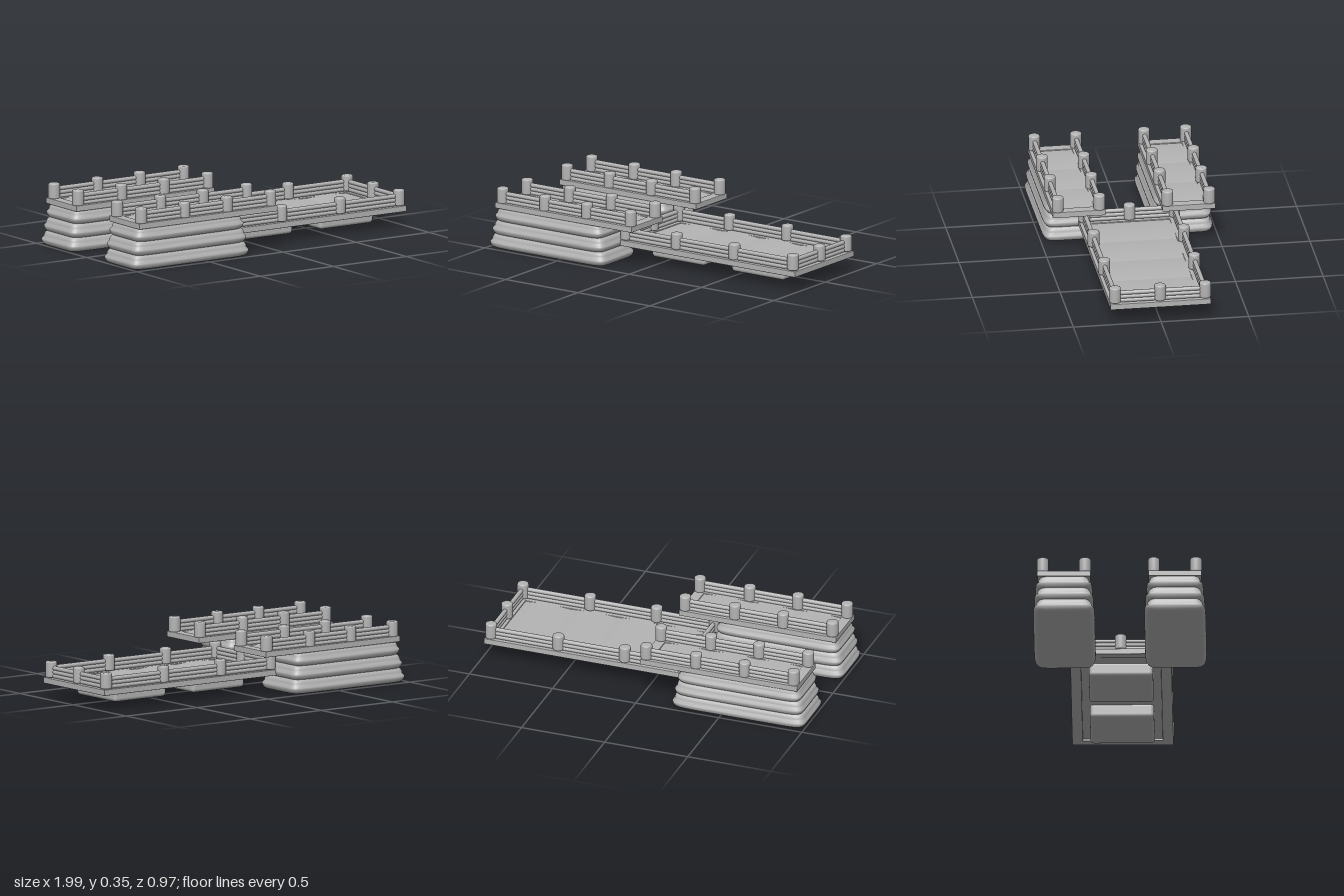
import * as THREE from 'three';
import { RoundedBoxGeometry } from 'three/addons/geometries/RoundedBoxGeometry.js';

const grey = new THREE.MeshStandardMaterial({ color: 0xb4b4b4 });
grey.name = 'grey';

function add(parent, name, geometry, x = 0, y = 0, z = 0) {
  const mesh = new THREE.Mesh(geometry, grey);
  mesh.name = name;
  mesh.position.set(x, y, z);
  parent.add(mesh);
  return mesh;
}

// Inflated cushion: superellipse plan lofted along a rounded, tapering side
function cushion(a, b, h) {
  const N = 64, power = 0.2, pos = [], index = [];
  const r = h * 0.42, rows = [];
  for (let i = 0; i <= 6; i++) {
    const t = (i / 6) * Math.PI / 2;
    rows.push([r * 0.75 * (1 - Math.sin(t)), r * (1 - Math.cos(t))]);
  }
  for (let i = 0; i <= 6; i++) {
    const t = (i / 6) * Math.PI / 2;
    rows.push([0.01 + r * 0.75 * (1 - Math.cos(t)), h - r + r * Math.sin(t)]);
  }
  const curve = v => Math.sign(v) * Math.pow(Math.abs(v) < 1e-9 ? 0 : Math.abs(v), power);
  for (const [inset, y] of rows)
    for (let j = 0; j < N; j++) {
      const t = (j / N) * Math.PI * 2;
      pos.push((a - inset) * curve(Math.cos(t)), y, (b - inset) * curve(Math.sin(t)));
    }
  const bottom = rows.length * N, top = bottom + 1, last = (rows.length - 1) * N;
  pos.push(0, 0, 0, 0, h, 0);
  for (let j = 0; j < N; j++) {
    const k = (j + 1) % N;
    for (let i = 0; i < rows.length - 1; i++) {
      const p = i * N, q = p + N;
      index.push(p + j, q + j, p + k, p + k, q + j, q + k);
    }
    index.push(bottom, j, k, top, last + k, last + j);
  }
  const g = new THREE.BufferGeometry();
  g.setAttribute('position', new THREE.Float32BufferAttribute(pos, 3));
  g.setIndex(index);
  g.computeVertexNormals();
  return g;
}

// Upright post with softened rims
function postGeometry(h, r = 0.033) {
  const c = 0.008, pts = [[0, 0], [r - c, 0], [r - 0.002, 0.003], [r, c], [r, h - c],
    [r - 0.002, h - 0.003], [r - c, h], [0, h]];
  return new THREE.LatheGeometry(pts.map(p => new THREE.Vector2(...p)), 24);
}

// Rectangular rim with an open middle, from y = 0 to y = h
function rimGeometry(w, d, iw, id, h) {
  const rect = (P, x, z) => new P([[-x, -z], [x, -z], [x, z], [-x, z]]
    .map(p => new THREE.Vector2(p[0] / 2, p[1] / 2)));
  const bevel = 0.004;
  const shape = rect(THREE.Shape, w - 2 * bevel, d - 2 * bevel);
  shape.holes.push(rect(THREE.Path, iw + 2 * bevel, id + 2 * bevel));
  const g = new THREE.ExtrudeGeometry(shape, { depth: h - 2 * bevel, bevelThickness: bevel,
    bevelSize: bevel, bevelSegments: 2 });
  return g.rotateX(-Math.PI / 2).translate(0, bevel, 0);
}

// Floor panel whose top bulges gently along x
function panelGeometry(w, d, h) {
  const g = new THREE.BoxGeometry(w, h, d, 12, 1, 1).translate(0, h / 2, 0);
  const p = g.attributes.position;
  for (let i = 0; i < p.count; i++)
    if (p.getY(i) > h / 2) p.setY(i, h + 0.006 * (1 - (2 * p.getX(i) / w) ** 2));
  g.computeVertexNormals();
  return g;
}

// Framed deck with a row of panels
function deck(parent, x0, x1, d, y, h, seams, panelDepth) {
  const ix0 = seams[0], ix1 = seams[seams.length - 1], cx = (x0 + x1) / 2;
  const iw = 2 * Math.min(ix1 - cx, cx - ix0);
  add(parent, 'deckRim', rimGeometry(x1 - x0, d, iw, panelDepth, h), cx, y, 0);
  for (let i = 0; i < seams.length - 1; i++) {
    const w = seams[i + 1] - seams[i];
    add(parent, 'floorPanel', panelGeometry(w, panelDepth + 0.004, h - 0.018),
      seams[i] + w / 2, y + 0.012, 0);
  }
}

// Three stacked tubes between two points on the deck
function rails(parent, y, x0, z0, x1, z1) {
  for (let i = 0; i < 3; i++) {
    const path = new THREE.LineCurve3(new THREE.Vector3(x0, y + 0.011 + i * 0.0225, z0),
      new THREE.Vector3(x1, y + 0.011 + i * 0.0225, z1));
    add(parent, 'railTube', new THREE.TubeGeometry(path, 1, 0.0125, 14));
  }
}

// Raised dock on three stacked cushions
function raisedDock(z, name) {
  const g = new THREE.Group();
  g.name = name;
  g.position.z = z;
  [[0.4, 0.174], [0.387, 0.168], [0.372, 0.161]].forEach(([a, b], i) =>
    add(g, 'baseCushion', cushion(a, b, 0.084), -0.6, i * 0.077, 0));
  deck(g, -0.957, -0.012, 0.3, 0.23, 0.034, [-0.897, -0.625, -0.345, -0.072], 0.185);
  for (const s of [-1, 1]) {
    rails(g, 0.26, -0.925, s * 0.119, -0.04, s * 0.119);
    for (const x of [-0.925, -0.63, -0.34, -0.04])
      add(g, 'post', postGeometry(0.09), x, 0.26, s * 0.119);
  }
  return g;
}

// Long low platform on two pads
function platform() {
  const g = new THREE.Group();
  g.name = 'platform';
  deck(g, -0.225, 0.993, 0.572, 0.086, 0.034, [-0.165, 0.105, 0.38, 0.655, 0.933], 0.45);
  for (const s of [-1, 1]) {
    rails(g, 0.12, -0.195, s * 0.257, 0.96, s * 0.257);
    for (const x of [-0.195, 0.155, 0.555, 0.96])
      add(g, 'post', postGeometry(0.092), x, 0.121, s * 0.257);
  }
  for (const x of [-0.195, 0.96]) {
    rails(g, 0.12, x, -0.257, x, 0.257);
    add(g, 'endPost', postGeometry(0.092), x, 0.121, 0);
  }
  for (const x of [0.107, 0.658])
    add(g, 'supportPad', new RoundedBoxGeometry(0.366, 0.085, 0.362, 4, 0.02), x, 0.0635, 0);
  return g;
}

export function createModel() {
  const model = new THREE.Group();
  model.name = 'floatingDock';
  model.add(raisedDock(0.313, 'frontDock'), raisedDock(-0.313, 'backDock'), platform());
  return model;
}
